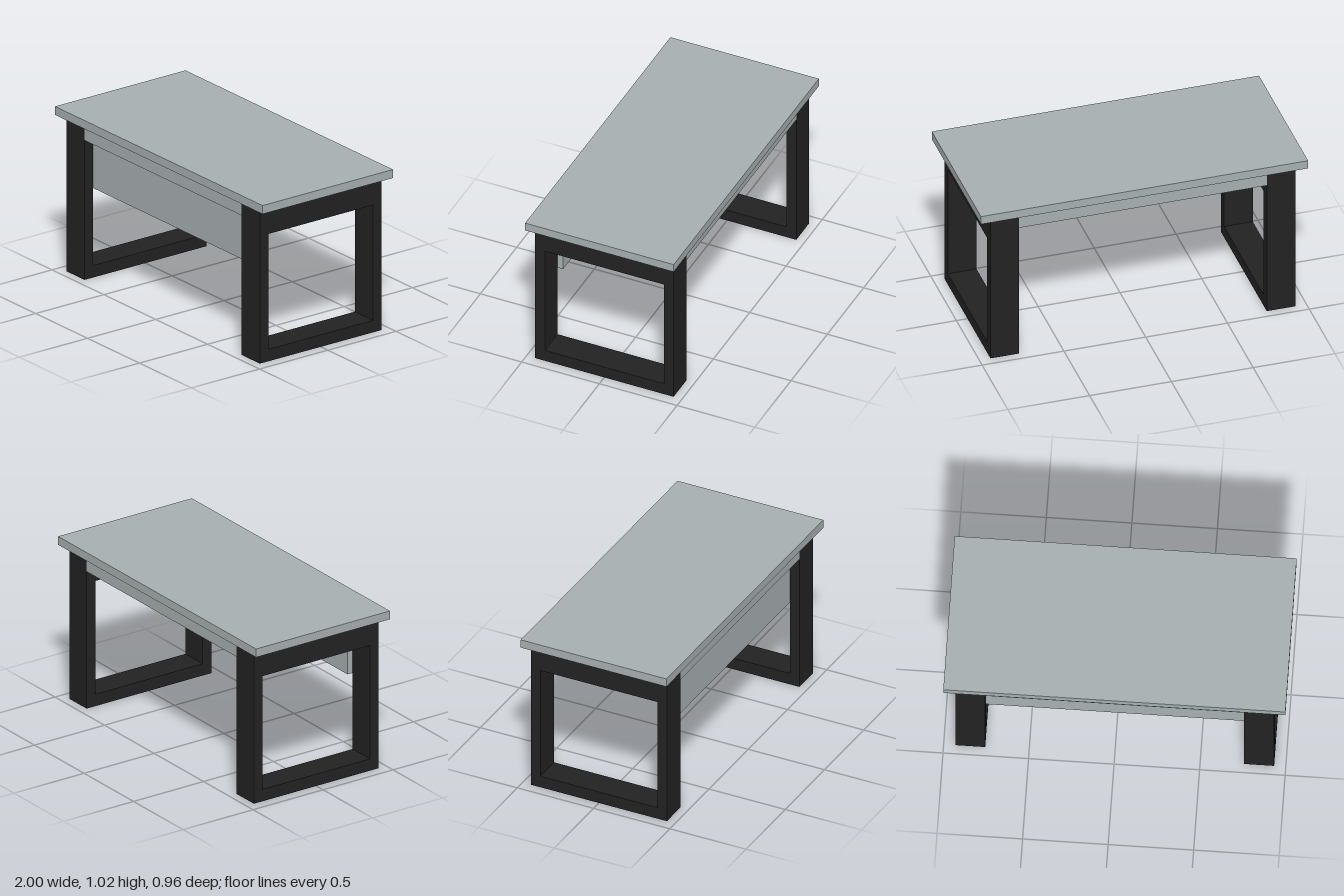
import * as THREE from 'three';

export function createModel() {
  const desk = new THREE.Group();
  desk.name = 'desk';

  const grey = new THREE.MeshStandardMaterial({ color: 0xa7afb0 });
  grey.name = 'grey laminate';
  const black = new THREE.MeshStandardMaterial({ color: 0x222222 });
  black.name = 'black frame';

  // Box given by its half width and its y and z ranges
  function addBox(name, halfX, y0, y1, z0, z1) {
    const mesh = new THREE.Mesh(new THREE.BoxGeometry(halfX * 2, y1 - y0, z1 - z0), grey);
    mesh.position.set(0, (y0 + y1) / 2, (z0 + z1) / 2);
    mesh.name = name;
    desk.add(mesh);
  }

  const inner = 0.757, outer = 0.932, topY = 0.965;

  addBox('tabletop', 1, topY, 1.018, -0.478, 0.478);
  addBox('underTopBody', inner, 0.873, topY, -0.446, 0.446);
  addBox('modestyPanel', inner, 0.56, 0.873, 0.347, 0.383);

  // Closed loop side frames: outline in (z, y) with a rectangular opening
  const outline = new THREE.Shape();
  outline.moveTo(-0.446, 0).lineTo(0.446, 0).lineTo(0.446, topY).lineTo(-0.446, topY).closePath();
  const opening = new THREE.Path();
  opening.moveTo(-0.383, 0.075).lineTo(-0.383, 0.797).lineTo(0.383, 0.797).lineTo(0.383, 0.075).closePath();
  outline.holes.push(opening);

  const frameGeometry = new THREE.ExtrudeGeometry(outline, { depth: outer - inner, bevelEnabled: false });
  frameGeometry.translate(0, 0, -(outer - inner) / 2);
  frameGeometry.rotateY(Math.PI / 2);

  for (const side of [1, -1]) {
    const frame = new THREE.Mesh(frameGeometry, black);
    frame.position.x = side * (inner + outer) / 2;
    frame.name = side > 0 ? 'leftLegFrame' : 'rightLegFrame';
    desk.add(frame);
  }

  return desk;
}
